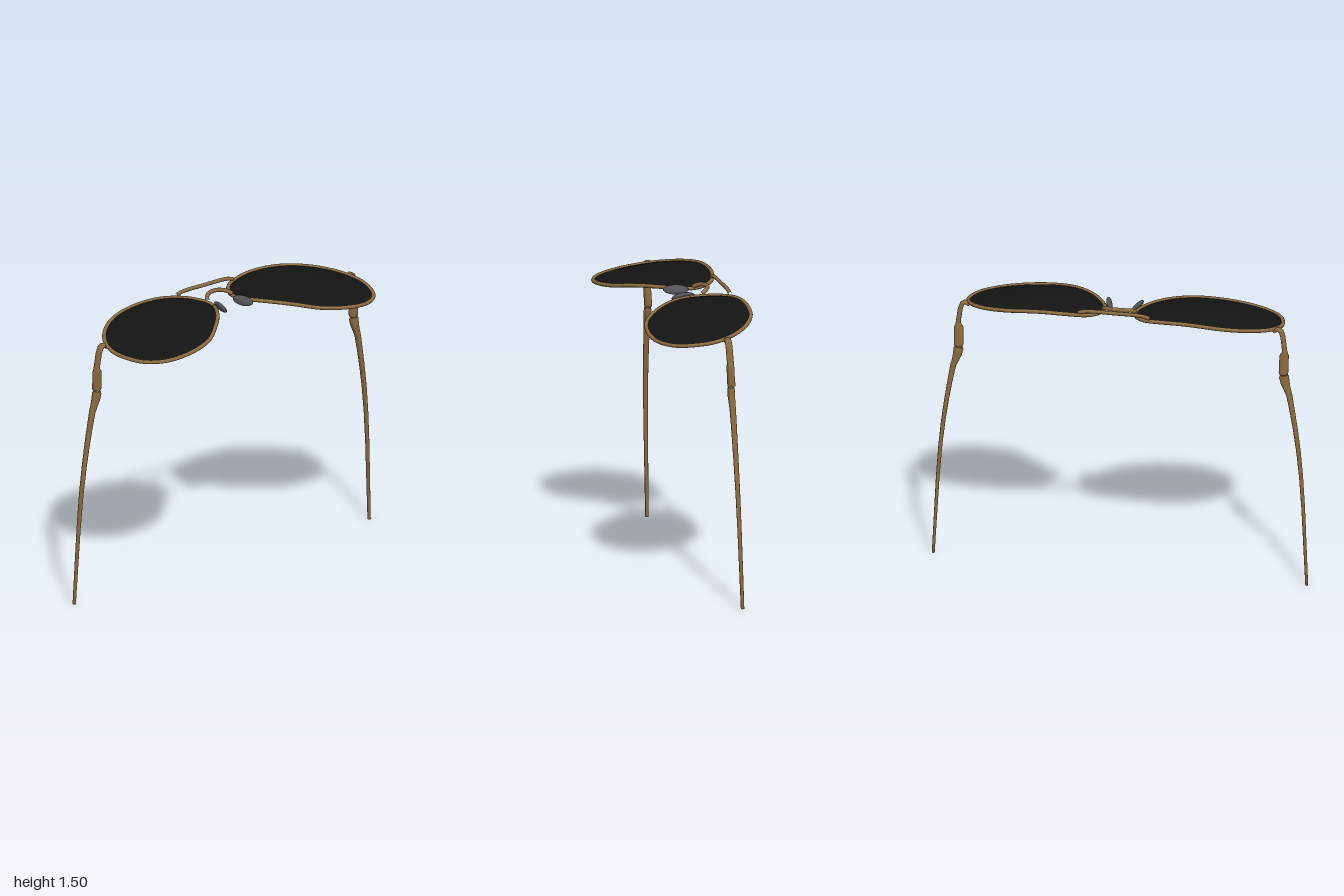
import * as THREE from 'three';

const gold = new THREE.MeshStandardMaterial({ color: 0x8c6b40 });
const dark = new THREE.MeshStandardMaterial({ color: 0x141414, side: THREE.DoubleSide });
const padGrey = new THREE.MeshStandardMaterial({ color: 0x55555a });
const V = (x, y, z) => new THREE.Vector3(x, y, z);

// Height of the domed lens surface above a plan position
function domeY(x, z) {
  const q = (x < 0.36 ? 0.6 : 0.48) * (x - 0.36) ** 2 + 0.65 * (z + 0.13) ** 2;
  return 1.487 - 0.3 * (1 - Math.exp(-q / 0.3));
}

// Teardrop outline in plan, scaled k about its middle
const MID = [0.46, -0.01];
const outline = new THREE.CatmullRomCurve3([
  [0.395, -0.287], [0.57, -0.27], [0.70, -0.21], [0.79, -0.12], [0.834, -0.015], [0.83, 0.08],
  [0.78, 0.19], [0.68, 0.26], [0.54, 0.28], [0.38, 0.245], [0.245, 0.145], [0.14, 0.03],
  [0.08, -0.08], [0.085, -0.16], [0.14, -0.235], [0.245, -0.275],
].map(([x, z]) => V(x, 0, z)), true);
const N = 96;
const edge = outline.getSpacedPoints(N).slice(0, N);
function ring(k) {
  return edge.map((p) => {
    const x = MID[0] + (p.x - MID[0]) * k, z = MID[1] + (p.z - MID[1]) * k;
    return V(x, domeY(x, z), z);
  });
}

function build(points, index) {
  const g = new THREE.BufferGeometry().setFromPoints(points);
  g.setIndex(index);
  g.computeVertexNormals();
  return g;
}

// Lens: concentric rings following the dome
function lensGeometry() {
  const rings = 12, pts = [], idx = [];
  for (let i = 0; i <= rings; i++) pts.push(...ring(Math.max(i / rings, 0.001) * 0.975));
  for (let i = 0; i < rings; i++) {
    for (let j = 0; j < N; j++) {
      const a = i * N + j, b = i * N + (j + 1) % N;
      idx.push(a, b + N, a + N, a, b, b + N);
    }
  }
  return build(pts, idx);
}

// Loft of oval sections; each row is x, y, z, half thickness, half depth
function loft(rows, sides = 16) {
  const pts = [], idx = [];
  const section = (i) => {
    const [x, y, z, a, b] = rows[i];
    const p = rows[Math.max(i - 1, 0)], q = rows[Math.min(i + 1, rows.length - 1)];
    const t = V(q[0] - p[0], q[1] - p[1], 0).normalize();
    for (let j = 0; j < sides; j++) {
      const u = (j / sides) * Math.PI * 2, c = Math.cos(u), s = Math.sin(u);
      const ca = a * Math.sign(c) * Math.abs(c) ** 0.75, sb = b * Math.sign(s) * Math.abs(s) ** 0.75;
      pts.push(V(x + t.y * ca, y - t.x * ca, z + sb));
    }
  };
  rows.forEach((_, i) => section(i));
  for (let i = 0; i < rows.length - 1; i++) {
    for (let j = 0; j < sides; j++) {
      const a = i * sides + j, b = i * sides + (j + 1) % sides;
      idx.push(a, a + sides, b, b, a + sides, b + sides);
    }
  }
  // end caps with their own vertices
  for (const end of [0, rows.length - 1]) {
    const base = pts.length;
    section(end);
    for (let j = 1; j < sides - 1; j++) {
      if (end === 0) idx.push(base, base + j, base + j + 1);
      else idx.push(base, base + j + 1, base + j);
    }
  }
  return build(pts, idx);
}

const tube = (pts, r, segs = 24, closed = false) =>
  new THREE.TubeGeometry(new THREE.CatmullRomCurve3(pts, closed), segs, r, 10, closed);

// Mirrored copy across x with its faces turned right way out
function mirror(geo) {
  const g = geo.clone().scale(-1, 1, 1);
  const a = g.index.array;
  for (let i = 0; i < a.length; i += 3) [a[i + 1], a[i + 2]] = [a[i + 2], a[i + 1]];
  return g;
}

export function createModel() {
  const model = new THREE.Group();
  const add = (name, geo, mat) => {
    const m = new THREE.Mesh(geo, mat);
    m.name = name;
    model.add(m);
  };
  const pair = (name, geo, mat) => {
    add('left' + name, geo, mat);
    add('right' + name, mirror(geo), mat);
  };

  // Lenses and wire rims
  pair('Lens', lensGeometry(), dark);
  pair('Rim', tube(ring(0.98), 0.0105, 144, true), gold);

  // Brow bar and arched bridge
  add('browBar', tube([V(-0.19, 1.475, -0.252), V(-0.15, 1.485, -0.252), V(0, 1.487, -0.252),
    V(0.15, 1.485, -0.252), V(0.19, 1.475, -0.252)], 0.01), gold);
  add('bridge', tube([V(-0.085, 1.455, -0.125), V(-0.066, 1.468, -0.15), V(-0.035, 1.475, -0.17),
    V(0, 1.477, -0.176), V(0.035, 1.475, -0.17), V(0.066, 1.468, -0.15), V(0.085, 1.455, -0.125)], 0.011, 36), gold);

  // Nose pads on small wire arms
  const pad = new THREE.SphereGeometry(1, 20, 14).scale(0.013, 0.026, 0.066);
  pad.rotateZ(-0.45).rotateY(0.22).translate(0.075, 1.446, -0.03);
  pair('NosePad', pad, padGrey);
  pair('PadArm', tube([V(0.098, 1.455, -0.06), V(0.09, 1.435, -0.05), V(0.08, 1.442, -0.035)], 0.005, 12), gold);

  // Temples: hooked end piece with hinge block, then the long tapering arm
  pair('EndPiece', loft([
    [0.808, 1.388, -0.072, 0.010, 0.014], [0.818, 1.398, -0.072, 0.011, 0.016],
    [0.832, 1.402, -0.073, 0.011, 0.017], [0.846, 1.393, -0.073, 0.012, 0.018],
    [0.856, 1.365, -0.075, 0.012, 0.018], [0.866, 1.29, -0.079, 0.012, 0.018],
    [0.867, 1.28, -0.079, 0.014, 0.018], [0.864, 1.262, -0.08, 0.024, 0.019],
    [0.862, 1.20, -0.083, 0.025, 0.019], [0.862, 1.172, -0.085, 0.025, 0.02],
    [0.863, 1.16, -0.085, 0.022, 0.019],
  ]), gold);
  const pin = new THREE.CylinderGeometry(0.012, 0.012, 0.05, 12).translate(0.863, 1.157, -0.083);
  pair('HingePin', pin, gold);
  pair('TempleArm', loft([
    [0.863, 1.153, -0.083, 0.021, 0.016], [0.864, 1.143, -0.083, 0.026, 0.018],
    [0.870, 1.11, -0.083, 0.023, 0.018], [0.880, 1.08, -0.084, 0.018, 0.017],
    [0.892, 1.045, -0.085, 0.015, 0.016], [0.908, 0.96, -0.087, 0.013, 0.015],
    [0.925, 0.86, -0.089, 0.012, 0.014], [0.942, 0.74, -0.092, 0.011, 0.013],
    [0.957, 0.6, -0.096, 0.010, 0.012], [0.970, 0.42, -0.101, 0.009, 0.011],
    [0.981, 0.2, -0.107, 0.008, 0.010], [0.991, 0, -0.112, 0.007, 0.009],
  ]), gold);

  return model;
}
